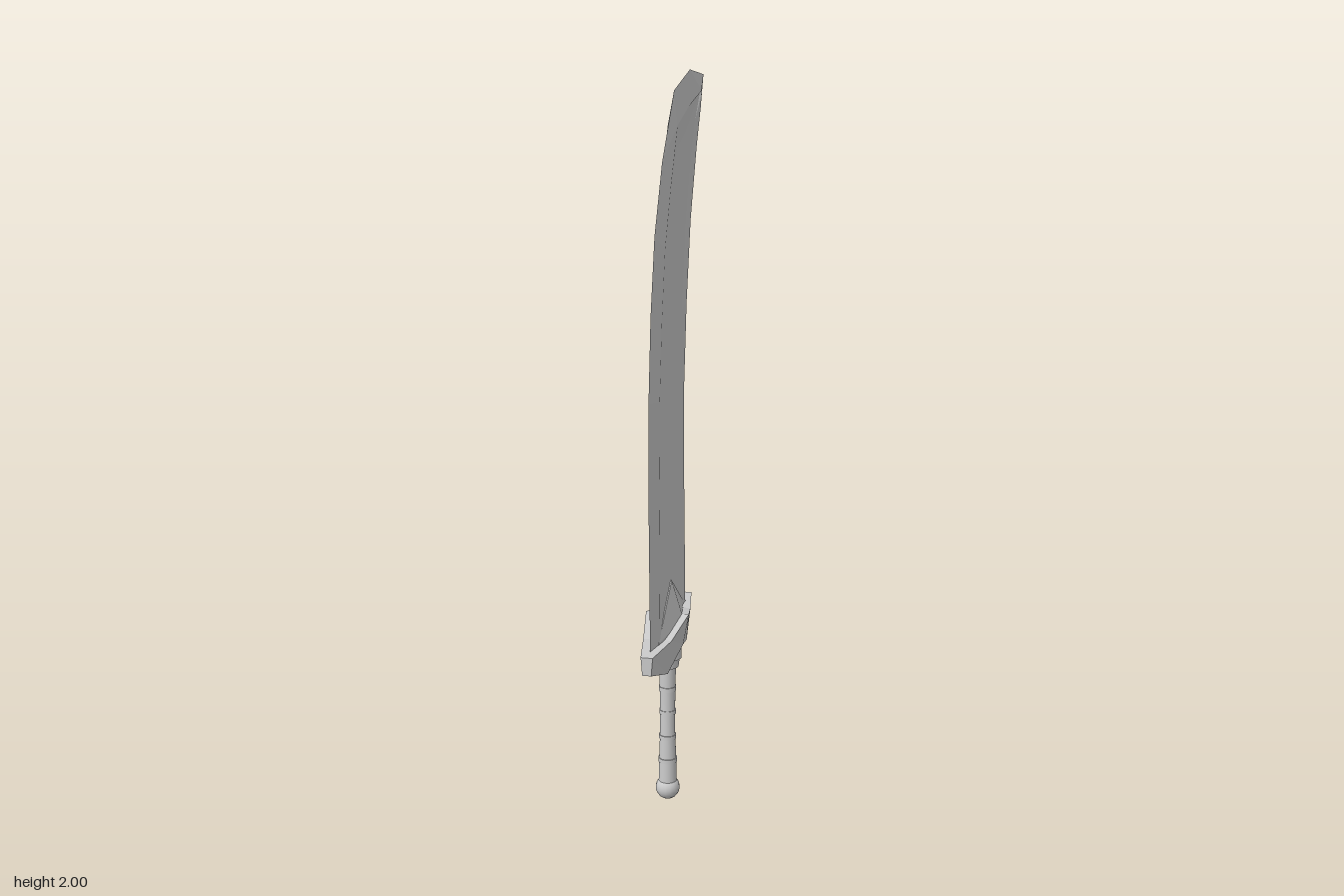
import * as THREE from 'three';

const CZ = 0.118; // z of the handle axis
const flat = new THREE.MeshStandardMaterial({ color: 0xcccccc, flatShading: true });
const smooth = new THREE.MeshStandardMaterial({ color: 0xcccccc });

// Skin a row of closed cross-sections (counterclockwise looking back along the row)
function loft(name, sections) {
  const pos = [];
  const tri = (a, b, c) => pos.push(...a, ...b, ...c);
  const n = sections[0].length;
  for (let i = 0; i < sections.length - 1; i++) {
    for (let j = 0; j < n; j++) {
      const k = (j + 1) % n;
      const a = sections[i][j], b = sections[i][k];
      const c = sections[i + 1][k], d = sections[i + 1][j];
      tri(a, b, c);
      tri(a, c, d);
    }
  }
  const first = sections[0], last = sections[sections.length - 1];
  for (let j = 1; j < n - 1; j++) {
    tri(first[0], first[j + 1], first[j]);
    tri(last[0], last[j], last[j + 1]);
  }
  const geo = new THREE.BufferGeometry();
  geo.setAttribute('position', new THREE.Float32BufferAttribute(pos, 3));
  geo.computeVertexNormals();
  const mesh = new THREE.Mesh(geo, flat);
  mesh.name = name;
  return mesh;
}

// Blade: each line runs from guard to tip as [z, y]
function blade() {
  const edge = [[.334, .5], [.345, .94], [.34, 1.19], [.313, 1.405], [.265, 1.6], [.175, 1.775], [.027, 1.95], [-.18, 2], [-.375, 1.985]];
  const bevel = [[.272, .5], [.278, .94], [.268, 1.18], [.24, 1.38], [.2, 1.56], [.13, 1.71], [.045, 1.862], [-.1, 1.905], [-.28, 1.942]];
  const grooveFront = [[.2, .5], [.205, .94], [.195, 1.17], [.172, 1.36], [.135, 1.54], [.09, 1.67], [.03, 1.8], [-.09, 1.845], [-.275, 1.938]];
  const grooveBack = [[-.01, .5], [.002, .94], [.002, 1.16], [-.025, 1.37], [-.075, 1.58], [-.14, 1.74], [-.175, 1.805], [-.21, 1.865], [-.275, 1.937]];
  const spine = [[-.065, .5], [-.043, .945], [-.043, 1.155], [-.076, 1.385], [-.13, 1.605], [-.212, 1.795], [-.245, 1.855], [-.268, 1.895], [-.285, 1.938]];
  const back = [[-.087, .5], [-.06, .945], [-.06, 1.155], [-.095, 1.38], [-.15, 1.6], [-.235, 1.79], [-.283, 1.865], [-.33, 1.927], [-.375, 1.985]];
  const side = [[bevel, .013], [grooveFront, .009], [grooveBack, .009], [spine, .013]];
  const sections = edge.map((e, i) => {
    const pt = (line, x) => [x, line[i][1], line[i][0]];
    return [
      pt(edge, 0),
      ...side.map(([l, x]) => pt(l, x)),
      pt(back, 0),
      ...side.slice().reverse().map(([l, x]) => pt(l, -x)),
    ];
  });
  return loft('blade', sections);
}

// Four-cornered section across the guard
const slab = (dz, bottom, top, xBottom, xTop) => [
  [xBottom, bottom, CZ + dz], [xTop, top, CZ + dz],
  [-xTop, top, CZ + dz], [-xBottom, bottom, CZ + dz],
];

function handle() {
  const group = new THREE.Group();
  group.name = 'handle';
  group.position.z = CZ;
  const add = (name, geo, y = 0) => {
    const m = new THREE.Mesh(geo, smooth);
    m.name = name;
    m.position.y = y;
    group.add(m);
  };
  const lathe = (pts) => new THREE.LatheGeometry(pts.map(([r, y]) => new THREE.Vector2(r, y)), 16);

  // Grip with slightly raised binding rings
  add('grip', lathe([[.026, .04], [.025, .1], [.021, .22], [.022, .32], [.024, .41]]));
  [[.12, .0265], [.19, .024], [.265, .0235], [.335, .0245]].forEach(([y, r]) =>
    add('gripRing', new THREE.CylinderGeometry(r, r, .012, 16), y));

  // Stepped collar below the guard
  add('collarRing', new THREE.CylinderGeometry(.035, .031, .03, 16), .415);
  add('collar', new THREE.CylinderGeometry(.04, .04, .03, 16), .442);
  add('collarTop', new THREE.CylinderGeometry(.034, .037, .03, 16), .468);

  add('pommel', new THREE.SphereGeometry(.034, 16, 12), .034);
  return group;
}

export function createModel() {
  const model = new THREE.Group();
  model.name = 'sword';
  model.add(blade());

  // Crossguard, widest at the middle
  model.add(loft('guard', [
    slab(-.258, .475, .525, .012, .016),
    slab(-.128, .43, .525, .028, .039),
    slab(0, .466, .555, .044, .06),
    slab(.128, .43, .525, .028, .039),
    slab(.258, .475, .525, .012, .016),
  ]));

  // Pointed socket holding the blade
  model.add(loft('bladeSocket', [
    slab(-.165, .51, .53, .012, .012),
    slab(0, .54, .65, .045, .012),
    slab(.165, .51, .53, .012, .012),
  ]));

  model.add(handle());
  return model;
}
